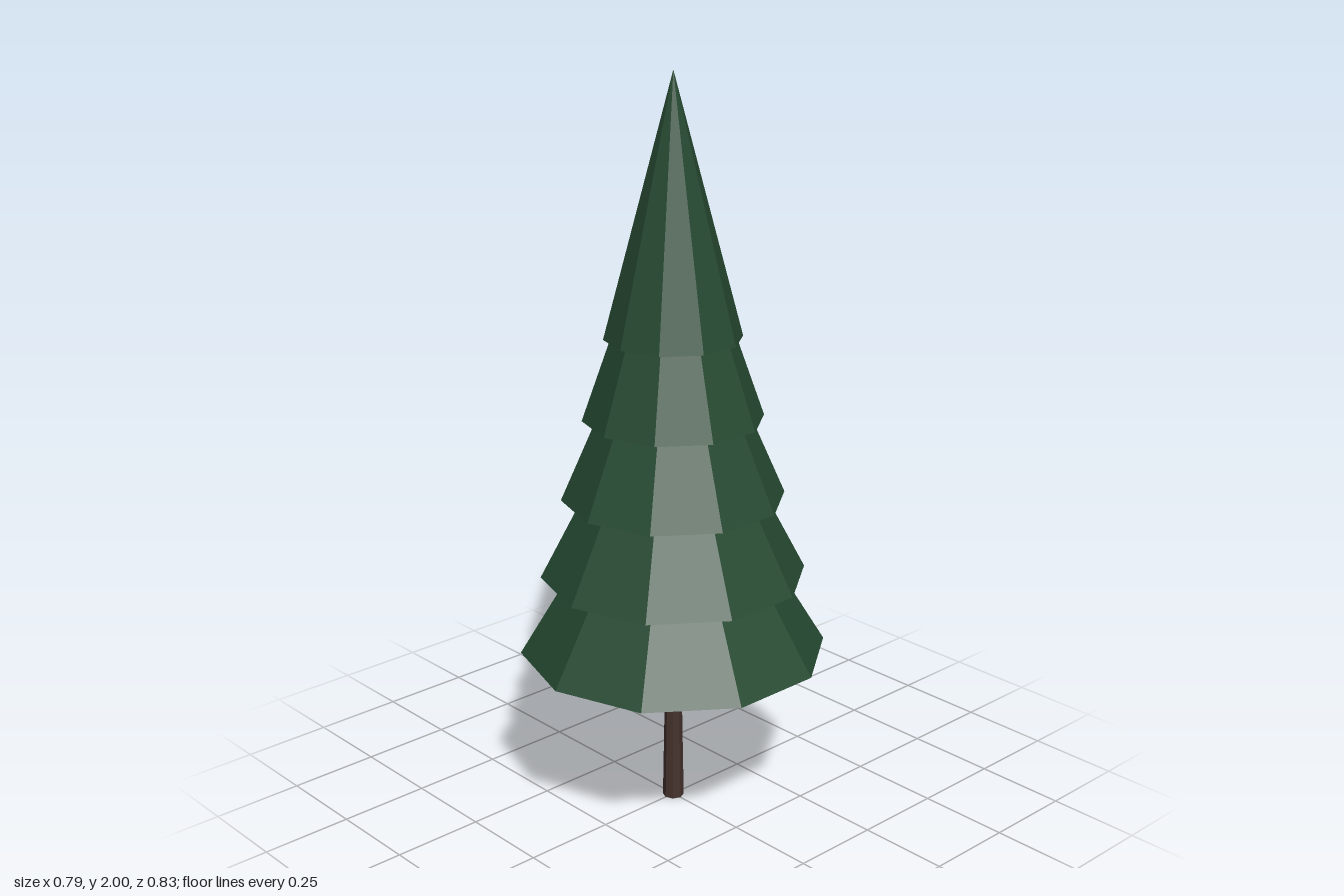
import * as THREE from 'three';

export function createModel() {
  const tree = new THREE.Group();
  tree.name = 'pineTree';

  const needles = new THREE.MeshStandardMaterial({ color: 0x264a32, flatShading: true });
  needles.name = 'needleGreen';
  const bark = new THREE.MeshStandardMaterial({ color: 0x46332e, flatShading: true });
  bark.name = 'barkBrown';

  // Tapered trunk, its top hidden in the lowest tier
  const trunkHeight = 0.6;
  const trunk = new THREE.Mesh(new THREE.CylinderGeometry(0.018, 0.029, trunkHeight, 8), bark);
  trunk.name = 'trunk';
  trunk.position.y = trunkHeight / 2;
  tree.add(trunk);

  // Five overlapping ten-sided cones of equal height, shrinking upwards
  const tiers = 5, tierHeight = 0.68;
  for (let i = 0; i < tiers; i++) {
    const t = i / (tiers - 1);
    const radius = THREE.MathUtils.lerp(0.413, 0.181, t);
    const base = THREE.MathUtils.lerp(0.455, 1.32, t);
    const tier = new THREE.Mesh(new THREE.ConeGeometry(radius, tierHeight, 10), needles);
    tier.name = `foliageTier${i + 1}`;
    tier.position.y = base + tierHeight / 2;
    tree.add(tier);
  }
  return tree;
}
